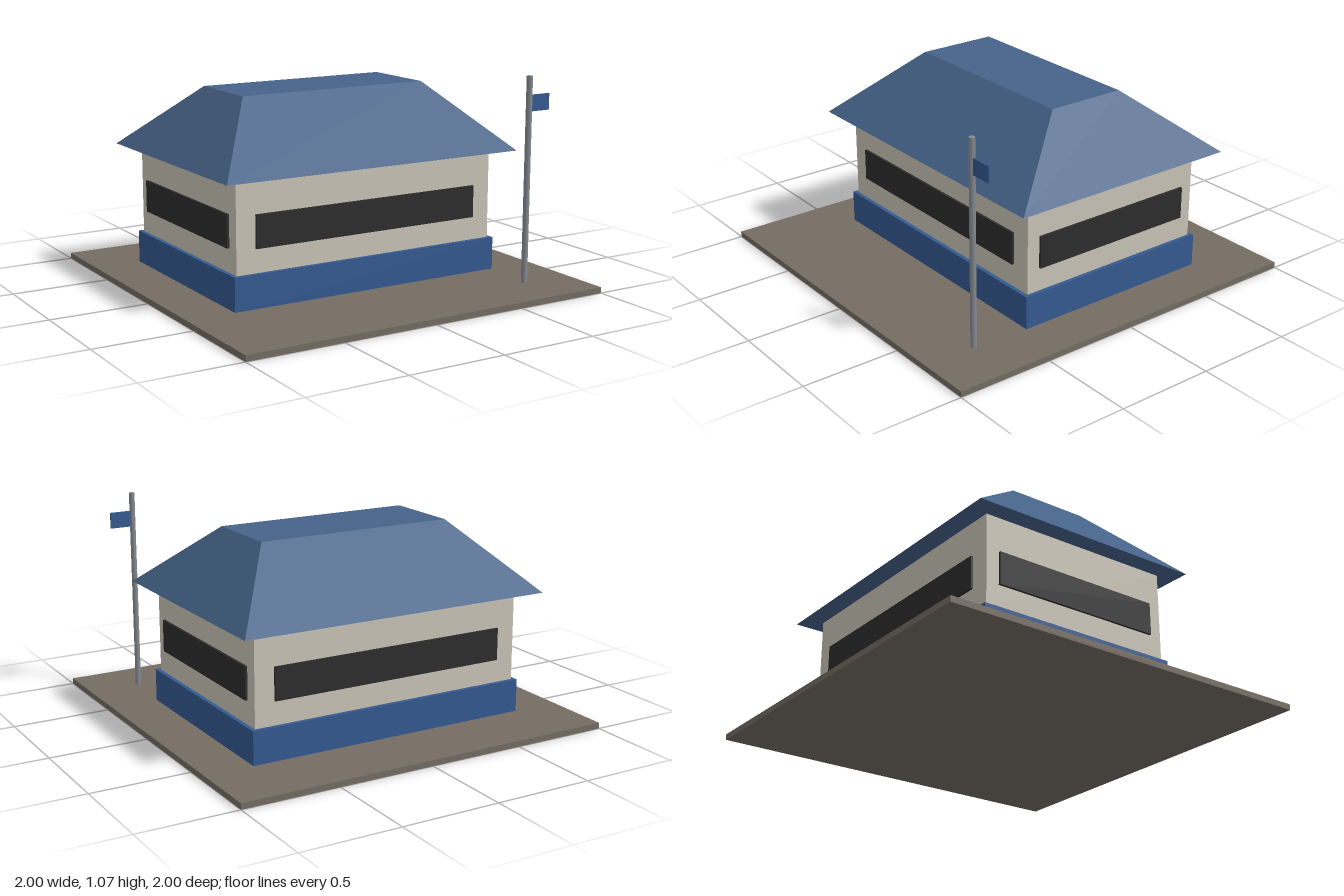
import * as THREE from 'three';

const paint = (name, color) => {
  const m = new THREE.MeshStandardMaterial({ color });
  m.name = name;
  return m;
};

export function createModel() {
  const ground = paint('ground brown', 0x756d63);
  const blue = paint('blue', 0x355a91);
  const roofBlue = paint('slate blue', 0x466389);
  const cream = paint('cream', 0xcac5b8);
  const glass = paint('dark glass', 0x2d2d2d);
  const steel = paint('steel grey', 0x868c92);

  const model = new THREE.Group();
  model.name = 'guardHouse';

  const add = (name, geometry, material, x, y, z, parent = model) => {
    const mesh = new THREE.Mesh(geometry, material);
    mesh.name = name;
    mesh.position.set(x, y, z);
    parent.add(mesh);
    return mesh;
  };
  // Box given by its width, depth and bottom and top heights
  const slab = (name, w, d, y0, y1, material, x, z, parent) =>
    add(name, new THREE.BoxGeometry(w, y1 - y0, d), material, x, (y0 + y1) / 2, z, parent);

  // Ground plate
  slab('groundPlate', 2, 2, 0, 0.03, ground, 0, 0);

  // House, set back from the front of the plot
  const house = new THREE.Group();
  house.name = 'house';
  house.position.z = -0.104;
  model.add(house);
  slab('plinth', 1.506, 1.084, 0.03, 0.198, blue, 0, 0, house);
  slab('walls', 1.464, 1.042, 0.198, 0.66, cream, 0, 0, house);

  // Window bands on all four walls
  for (const s of [-1, 1]) {
    slab(s > 0 ? 'frontWindow' : 'backWindow', 1.26, 0.02, 0.318, 0.483, glass, 0, s * 0.523, house);
    slab(s > 0 ? 'leftWindow' : 'rightWindow', 0.02, 0.904, 0.318, 0.483, glass, s * 0.734, 0, house);
  }

  // Flat-topped hip roof: a box with its top drawn in
  const roof = new THREE.BoxGeometry(1.66, 0.33, 1.25);
  const p = roof.attributes.position;
  for (let i = 0; i < p.count; i++) {
    if (p.getY(i) > 0) {
      p.setX(i, Math.sign(p.getX(i)) * 0.522);
      p.setZ(i, Math.sign(p.getZ(i)) * 0.208);
    }
  }
  roof.computeVertexNormals();
  add('roof', roof, roofBlue, 0, 0.825, 0, house);

  // Flagpole with a small flag
  add('flagpole', new THREE.CylinderGeometry(0.0155, 0.0155, 1.045, 8), steel, 0.73, 0.5525, 0.73);
  slab('flag', 0.115, 0.009, 0.898, 0.98, blue, 0.795, 0.73);

  return model;
}
